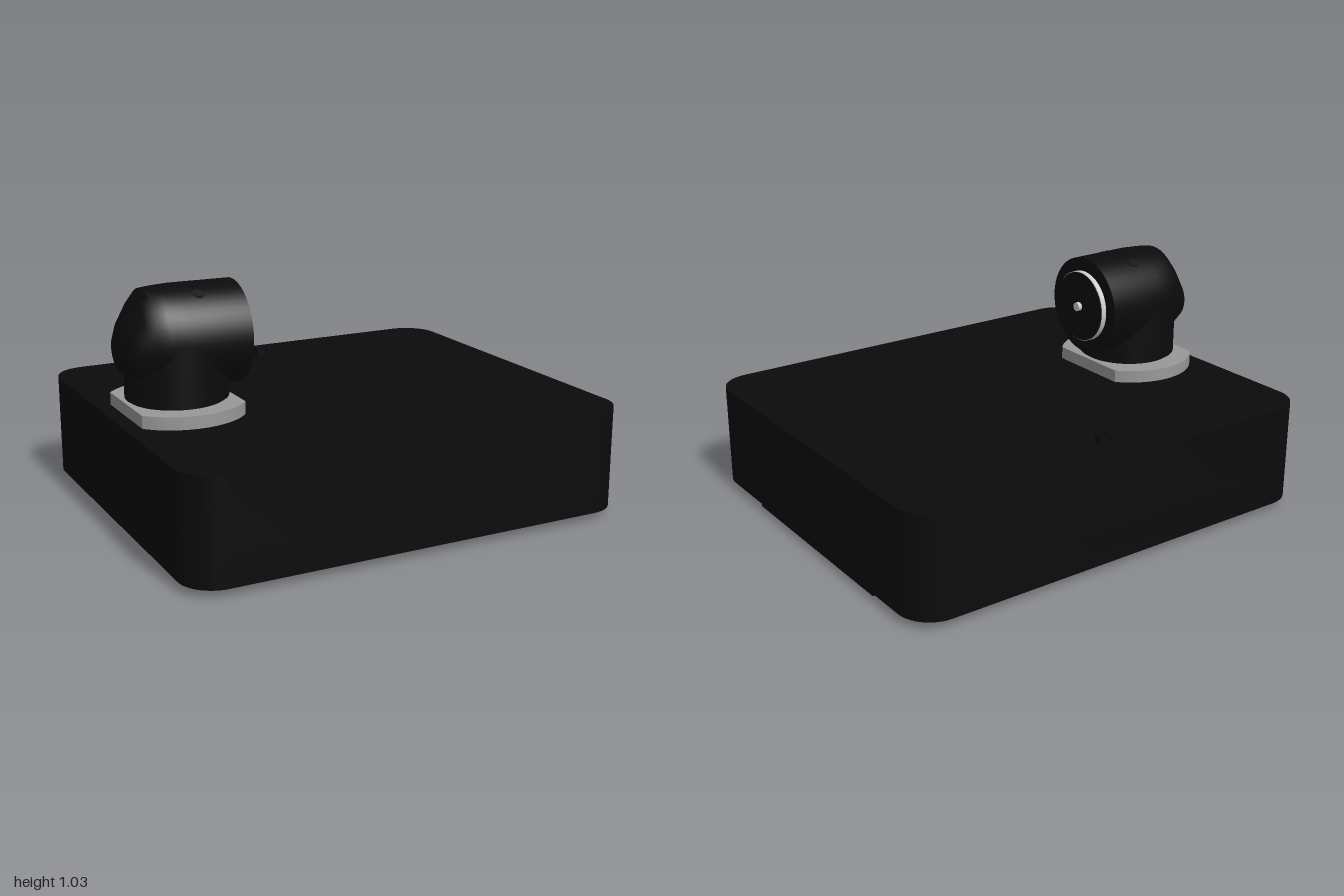
import * as THREE from 'three';
import { toCreasedNormals } from 'three/addons/utils/BufferGeometryUtils.js';

const black = new THREE.MeshStandardMaterial({ color: 0x0b0b0b });
const grey = new THREE.MeshStandardMaterial({ color: 0x999999 });
const light = new THREE.MeshStandardMaterial({ color: 0xcccccc });

export function createModel() {
  const model = new THREE.Group();

  function add(name, geometry, material, x = 0, y = 0, z = 0) {
    const mesh = new THREE.Mesh(geometry, material);
    mesh.name = name;
    mesh.position.set(x, y, z);
    model.add(mesh);
    return mesh;
  }

  // Rounded rectangle outline centred on (cx, cy)
  function roundedRect(Type, hw, hh, r, cx = 0, cy = 0) {
    const s = new Type();
    s.absarc(cx + hw - r, cy + hh - r, r, 0, Math.PI / 2);
    s.absarc(cx - hw + r, cy + hh - r, r, Math.PI / 2, Math.PI);
    s.absarc(cx - hw + r, cy - hh + r, r, Math.PI, Math.PI * 1.5);
    s.absarc(cx + hw - r, cy - hh + r, r, Math.PI * 1.5, Math.PI * 2);
    s.closePath();
    return s;
  }

  // Plan outline extruded upwards
  function slab(shape, height) {
    const g = new THREE.ExtrudeGeometry(shape, { depth: height, bevelEnabled: false, curveSegments: 12 });
    g.rotateX(-Math.PI / 2);
    return toCreasedNormals(g, 0.6);
  }

  // Cylinder along x
  const discX = (r, length) => new THREE.CylinderGeometry(r, r, length, 40).rotateZ(-Math.PI / 2);

  const corners = [[1, 1], [1, -1], [-1, 1], [-1, -1]];

  // Base box: solid upper part over a rim with four open corner pockets
  const pocketTop = 0.17;
  add('baseUpper', slab(roundedRect(THREE.Shape, 1, 0.862, 0.15), 0.485 - pocketTop), black, 0, pocketTop);
  const rim = roundedRect(THREE.Shape, 1, 0.862, 0.15);
  for (const [sx, sz] of corners) {
    rim.holes.push(roundedRect(THREE.Path, 0.18, 0.16, 0.06, sx * 0.77, sz * 0.655));
  }
  add('baseRim', slab(rim, pocketTop - 0.035), black, 0, 0.035);

  // Cross-shaped bottom plate
  const cross = new THREE.Shape([
    [0.98, 0.49], [0.59, 0.49], [0.59, 0.79], [-0.59, 0.79], [-0.59, 0.49], [-0.96, 0.49],
    [-0.96, -0.49], [-0.59, -0.49], [-0.59, -0.79], [0.59, -0.79], [0.59, -0.49], [0.98, -0.49],
  ].map(([x, y]) => new THREE.Vector2(x, y)));
  add('bottomPlate', slab(cross, 0.035), black);

  // Feet in the pockets and square seams on the top
  const seam = roundedRect(THREE.Shape, 0.115, 0.115, 0.004);
  seam.holes.push(roundedRect(THREE.Path, 0.108, 0.108, 0.004));
  const seamGeometry = slab(seam, 0.002);
  for (const [sx, sz] of corners) {
    add('foot', new THREE.CylinderGeometry(0.09, 0.09, 0.11, 32), black, sx * 0.73, 0.115, sz * 0.635);
    add('topSeam', seamGeometry, black, sx * 0.725, 0.484, sz * 0.635);
  }

  // Push button: ring with a sunken centre
  const button = [[0, 0], [0.035, 0], [0.035, 0.036], [0.022, 0.036], [0.022, 0.028], [0, 0.028]];
  add('button', toCreasedNormals(new THREE.LatheGeometry(
    button.map(([r, y]) => new THREE.Vector2(r, y)), 32), 0.6), black, 0, 0.484, -0.695);

  // Mounting disc with two sides cut flat
  const cx = -0.705;
  const cut = Math.acos(0.228 / 0.3);
  const disc = new THREE.Shape();
  disc.absarc(0, 0, 0.3, cut, Math.PI - cut);
  disc.absarc(0, 0, 0.3, Math.PI + cut, Math.PI * 2 - cut);
  disc.closePath();
  add('mountingDisc', slab(disc, 0.055), grey, cx, 0.485);

  // Neck and upright part of the swivel head
  add('neck', new THREE.CylinderGeometry(0.205, 0.205, 0.02, 48), black, cx, 0.547);
  add('headColumn', new THREE.CylinderGeometry(0.22, 0.22, 0.255, 48), black, cx, 0.6775);

  // Barrel along x with a rounded, sloping back; rows are x, centre y, half height, half width
  const sections = [
    [-0.445, 0.805, 0, 0], [-0.445, 0.805, 0.22, 0.22], [-0.72, 0.805, 0.222, 0.22],
    [-0.8, 0.805, 0.218, 0.205], [-0.85, 0.808, 0.21, 0.188], [-0.885, 0.795, 0.18, 0.17],
    [-0.925, 0.775, 0.125, 0.15], [-0.945, 0.758, 0.09, 0.12], [-0.957, 0.745, 0.05, 0.07], [-0.957, 0.745, 0, 0],
  ];
  const n = 48;
  const positions = [];
  const index = [];
  sections.forEach(([x, y, ry, rz], i) => {
    for (let j = 0; j < n; j++) {
      const t = (j / n) * Math.PI * 2;
      positions.push(x, y + ry * Math.cos(t), rz * Math.sin(t));
      if (i === sections.length - 1) continue;
      const a = i * n + j;
      const b = i * n + ((j + 1) % n);
      index.push(a, a + n, b, b, a + n, b + n);
    }
  });
  const barrel = new THREE.BufferGeometry();
  barrel.setAttribute('position', new THREE.Float32BufferAttribute(positions, 3));
  barrel.setIndex(index);
  add('headBarrel', toCreasedNormals(barrel, 0.7), black);

  // Screws on the barrel
  for (const s of [-1, 1]) {
    const screw = add('barrelScrew', new THREE.CylinderGeometry(0.025, 0.025, 0.01, 20), black,
      -0.64, 0.805 + 0.218 * Math.cos(0.52), s * 0.218 * Math.sin(0.52));
    screw.rotation.x = s * 0.52;
  }

  // Front disc: bright edge, dark face, centre pin
  add('frontRing', discX(0.16, 0.024), light, -0.433, 0.805);
  add('frontFace', discX(0.157, 0.004), black, -0.42, 0.805);
  add('centrePin', discX(0.02, 0.02), light, -0.41, 0.805);

  return model;
}
